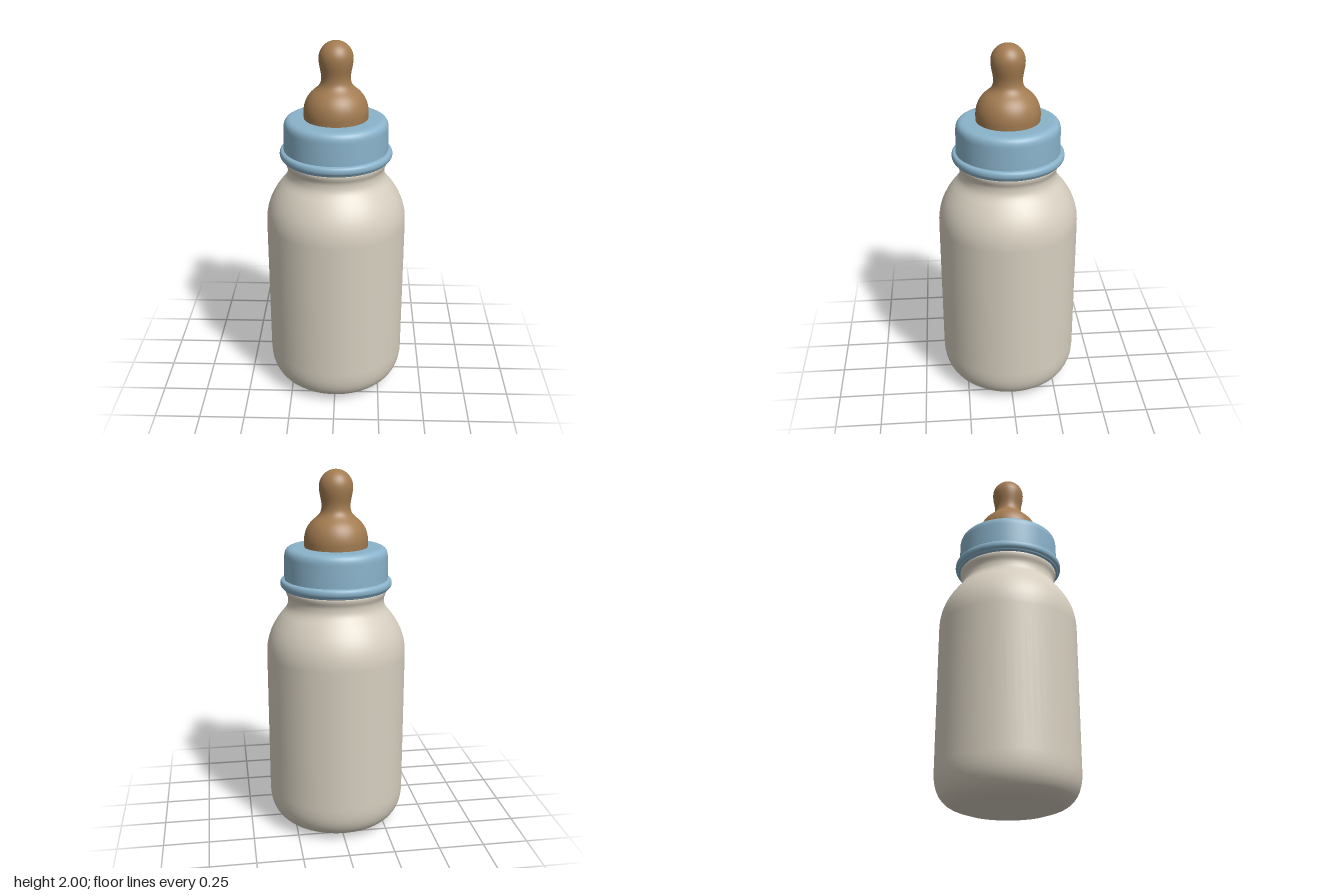
import * as THREE from 'three';

const SEGMENTS = 64;

// Revolve a smooth outline about the y axis
function revolve(name, path, material, divisions = 10) {
  const points = path.getPoints(divisions);
  points.forEach((p) => { p.x = Math.max(0, p.x); });
  const mesh = new THREE.Mesh(new THREE.LatheGeometry(points, SEGMENTS), material);
  mesh.name = name;
  return mesh;
}

export function createModel() {
  const group = new THREE.Group();
  group.name = 'babyBottle';

  const material = (name, color) => {
    const m = new THREE.MeshStandardMaterial({ color });
    m.name = name;
    return m;
  };
  const cream = material('creamBottle', 0xd6cebf);
  const blue = material('blueCollar', 0x8ab3cb);
  const brown = material('brownTeat', 0xa27b50);

  // Bottle: flat base, round heel, straight wall, shoulder and flared neck
  const bottle = new THREE.Path();
  bottle.moveTo(0, 0.005);
  bottle.lineTo(0.22, 0.005);
  bottle.bezierCurveTo(0.33, 0.005, 0.384, 0.07, 0.384, 0.19);
  bottle.lineTo(0.384, 0.21);
  bottle.lineTo(0.384, 1.0);
  bottle.bezierCurveTo(0.384, 1.09, 0.355, 1.155, 0.305, 1.22);
  bottle.bezierCurveTo(0.275, 1.255, 0.262, 1.27, 0.262, 1.305);
  bottle.bezierCurveTo(0.262, 1.33, 0.275, 1.335, 0.275, 1.36);
  bottle.lineTo(0.262, 1.4);
  group.add(revolve('bottle', bottle, cream));

  // Base disc keeps the underside flat
  const base = new THREE.Mesh(new THREE.CircleGeometry(0.24, SEGMENTS), cream);
  base.name = 'bottleBase';
  base.rotation.x = Math.PI / 2;
  group.add(base);

  // Screw collar with a rounded top edge
  const collar = new THREE.Path();
  collar.moveTo(0.279, 1.38);
  collar.lineTo(0.281, 1.42);
  collar.lineTo(0.279, 1.54);
  collar.bezierCurveTo(0.279, 1.575, 0.265, 1.592, 0.235, 1.592);
  collar.lineTo(0.22, 1.592);
  collar.lineTo(0.13, 1.592);
  group.add(revolve('collar', collar, blue));

  // Rounded lip around the bottom of the collar
  const lip = new THREE.Path();
  lip.moveTo(0.25, 1.364);
  lip.lineTo(0.278, 1.364);
  lip.bezierCurveTo(0.29, 1.364, 0.287, 1.374, 0.292, 1.376);
  lip.bezierCurveTo(0.307, 1.38, 0.307, 1.415, 0.292, 1.419);
  lip.lineTo(0.275, 1.422);
  group.add(revolve('collarLip', lip, blue));

  // Teat: domed base, narrow stem and bulbous tip
  const teat = new THREE.Path();
  teat.moveTo(0.17, 1.585);
  teat.lineTo(0.172, 1.62);
  teat.bezierCurveTo(0.172, 1.675, 0.15, 1.715, 0.115, 1.742);
  teat.bezierCurveTo(0.085, 1.765, 0.077, 1.78, 0.077, 1.81);
  teat.bezierCurveTo(0.077, 1.84, 0.09, 1.87, 0.09, 1.91);
  teat.bezierCurveTo(0.09, 1.96, 0.05, 2, 0, 2);
  group.add(revolve('teat', teat, brown, 14));

  return group;
}
